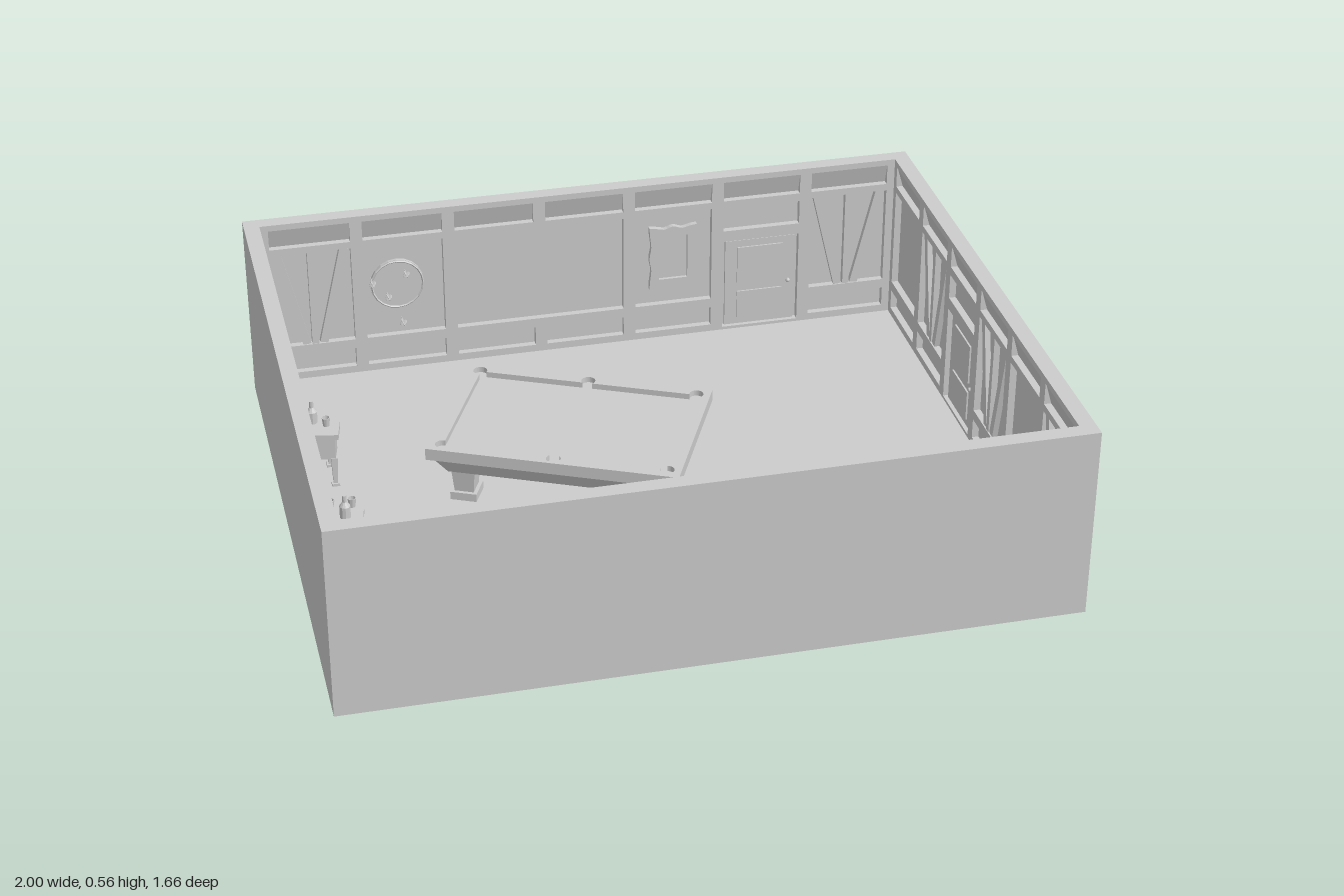
import * as THREE from 'three';

const material = new THREE.MeshStandardMaterial({ color: 0xcccccc, flatShading: true });
const W = 1, D = 0.832, H = 0.556, FLOOR = 0.038;
const SKIN = 0.025, RECESS = 0.02;

function add(parent, name, geometry, x = 0, y = 0, z = 0) {
  const mesh = new THREE.Mesh(geometry, material);
  mesh.name = name;
  mesh.position.set(x, y, z);
  parent.add(mesh);
  return mesh;
}
const box = (w, h, d) => new THREE.BoxGeometry(w, h, d);
const extrude = (shape, depth) =>
  new THREE.ExtrudeGeometry(shape, { depth, bevelEnabled: false, curveSegments: 10 });
// Extrusion lying flat, rising from y = 0
const slab = (shape, height) => extrude(shape, height).rotateX(-Math.PI / 2);

function rect(x0, y0, x1, y1, Type = THREE.Path) {
  const p = new Type();
  p.moveTo(x0, y0).lineTo(x1, y0).lineTo(x1, y1).lineTo(x0, y1).closePath();
  return p;
}

// Box whose lower end is scaled down
function taperedBox(w, h, d, sx, sz) {
  const g = box(w, h, d), p = g.attributes.position;
  for (let i = 0; i < p.count; i++) {
    if (p.getY(i) < 0) p.setXYZ(i, p.getX(i) * sx, p.getY(i), p.getZ(i) * sz);
  }
  g.computeVertexNormals();
  return g;
}

// Slanted timber between two points of a wall panel
function strut(parent, x0, y0, x1, y1, width) {
  const length = Math.hypot(x1 - x0, y1 - y0);
  const m = add(parent, 'timberBrace', box(width, length, 0.016), (x0 + x1) / 2, (y0 + y1) / 2, 0.008);
  m.rotation.z = -Math.atan2(x1 - x0, y1 - y0);
}

// Picture with a scalloped frame, w and h are half sizes
function picture(parent, x, y, w, h) {
  const pts = [], n = 48;
  for (let i = 0; i < n; i++) {
    const a = (i / n) * Math.PI * 2, c = Math.cos(a), s = Math.sin(a);
    const k = (1 + 0.04 * Math.cos(8 * a)) / Math.max(Math.abs(c), Math.abs(s));
    pts.push(new THREE.Vector2(c * k * w, s * k * h));
  }
  const frame = new THREE.Shape(pts), iw = w - 0.026, ih = h - 0.028;
  frame.holes.push(rect(-iw, -ih, iw, ih));
  add(parent, 'pictureFrame', extrude(frame, 0.016), x, y, 0);
  add(parent, 'pictureCanvas', box(2 * iw, 2 * ih, 0.006), x, y, 0.003);
}

// Round target with darts stuck in and around it
function dartboard(parent, x, y) {
  add(parent, 'dartboard', new THREE.CylinderGeometry(0.08, 0.08, 0.01, 20).rotateX(Math.PI / 2), x, y, 0.005);
  add(parent, 'dartboardRing', new THREE.TorusGeometry(0.076, 0.003, 4, 20), x, y, 0.011);
  const darts = [[-0.64, 0.34], [-0.595, 0.29], [-0.555, 0.2], [-0.54, 0.36]];
  for (const [dx, dy] of darts) {
    add(parent, 'dartShaft', new THREE.CylinderGeometry(0.003, 0.001, 0.04, 6).rotateX(Math.PI / 2), dx, dy, 0.02);
    for (const a of [0, Math.PI / 2]) {
      const flight = add(parent, 'dartFlight', new THREE.SphereGeometry(0.012, 8, 6), dx, dy, 0.041);
      flight.scale.set(1, 0.15, 1.2);
      flight.rotation.z = a + 0.5;
    }
  }
}

// Door leaf with two raised panels and a knob
function door(parent, x, w) {
  add(parent, 'doorLeaf', box(w - 0.02, 0.285, 0.008), x, 0.19, 0.004);
  for (const [y, h] of [[0.115, 0.09], [0.25, 0.12]]) add(parent, 'doorPanel', box(w * 0.6, h, 0.006), x, y, 0.01);
  add(parent, 'doorKnob', new THREE.SphereGeometry(0.007, 8, 6), x + w * 0.38, 0.18, 0.012);
}

// Panelled wall lining: a face with holes, filled bay by bay
function wall(parent, name, length, inner, bays, x, z, angle) {
  const group = new THREE.Group();
  group.name = name;
  group.position.set(x, 0, z);
  group.rotation.y = angle;
  parent.add(group);
  const count = bays.reduce((n, b) => n + (b === 'wide' ? 2 : 1), 0);
  const pitch = inner / count, gap = 0.018;
  const face = rect(-length / 2, FLOOR, length / 2, H, THREE.Shape);
  const hole = (x0, y0, x1, y1) => face.holes.push(rect(x0, y0, x1, y1));
  for (let i = 0; i < count; i++) {
    const a = -inner / 2 + i * pitch + gap, w = pitch - 2 * gap;
    hole(a, 0.476, a + w, 0.538);
    // Cornice panel leaning out towards its top
    const lean = new THREE.Shape([[0, 0.476], [0.018, 0.538], [0, 0.538]].map(([d, y]) => new THREE.Vector2(d, y)));
    add(group, 'cornicePanel', extrude(lean, w).rotateY(-Math.PI / 2), a + w);
  }
  let start = -inner / 2;
  for (const bay of bays) {
    const span = (bay === 'wide' ? 2 : 1) * pitch;
    const a = start + gap, b = start + span - gap, mid = (a + b) / 2;
    start += span;
    if (bay === 'door') {
      hole(a, 0.375, b, 0.45);
      hole(a, 0.047, b, 0.34);
      door(group, mid, b - a);
      continue;
    }
    hole(a, 0.15, b, 0.455);
    // Low skirting panels
    for (let k = 0; k < Math.round(span / pitch); k++) hole(a + k * pitch, 0.06, a + k * pitch + pitch - 2 * gap, 0.12);
    if (bay === 'brace') {
      add(group, 'timberPost', box(0.02, 0.305, 0.018), mid, 0.3025, 0.009);
      strut(group, a + 0.02, 0.455, mid - 0.025, 0.15, 0.024);
      strut(group, b - 0.02, 0.455, mid + 0.025, 0.15, 0.024);
    }
    if (bay === 'picture') picture(group, mid, 0.295, 0.07, 0.075);
    if (bay === 'portrait') picture(group, mid, 0.305, 0.07, 0.1);
    if (bay === 'dart') dartboard(group, mid - 0.02, 0.315);
  }
  add(group, 'panelling', extrude(face, RECESS));
}

function poolTable() {
  const table = new THREE.Group();
  table.name = 'poolTable';
  table.position.set(-0.194, 0, -0.078);
  table.rotation.y = -0.441;
  // Rails with six round pocket cut-outs: x, y, start and end angle
  const rails = rect(-0.355, -0.238, 0.355, 0.238, THREE.Shape);
  const inside = new THREE.Path();
  const pockets = [[0.315, 0.204, -98, 194], [0, 0.213, -44, 224], [-0.315, 0.204, -14, 278],
    [-0.315, -0.204, 82, 374], [0, -0.213, 136, 404], [0.315, -0.204, 166, 458]];
  for (const [x, y, a, b] of pockets) {
    inside.absarc(x, y, 0.02, THREE.MathUtils.degToRad(a), THREE.MathUtils.degToRad(b), false);
  }
  inside.closePath();
  rails.holes.push(inside);
  add(table, 'rails', slab(rails, 0.035), 0, 0.19, 0);
  add(table, 'bed', box(0.7, 0.02, 0.466), 0, 0.198, 0);
  add(table, 'skirt', taperedBox(0.68, 0.06, 0.45, 0.9, 0.85), 0, 0.16, 0);
  for (const sx of [-1, 1]) {
    for (const sz of [-1, 1]) {
      add(table, 'tableLeg', taperedBox(0.07, 0.1, 0.07, 0.75, 0.75), sx * 0.265, 0.1, sz * 0.152);
      add(table, 'tableFoot', box(0.075, 0.024, 0.075), sx * 0.265, FLOOR + 0.012, sz * 0.152);
    }
  }
  return table;
}

// Five-sided wall table carrying a bottle and glasses
function sideTable(z, bottle, glasses) {
  const g = new THREE.Group();
  g.name = 'sideTable';
  g.position.z = z;
  const outline = (inset) => new THREE.Shape([[-0.945, -0.05], [-0.835, -0.072], [-0.82, 0], [-0.835, 0.072], [-0.945, 0.05]]
    .map(([x, y]) => new THREE.Vector2(-0.885 + (x + 0.885) * inset, y * inset)));
  add(g, 'sideTableTop', slab(outline(1), 0.016), 0, 0.194, 0);
  add(g, 'sideTableApron', slab(outline(0.82), 0.07), 0, 0.125, 0);
  for (const s of [-1, 1]) {
    for (const [x, w] of [[-0.925, 0.034], [-0.848, 0.052]]) {
      add(g, 'sideTableLeg', taperedBox(0.018, 0.09, 0.018, 0.6, 0.6), x, 0.083, s * w);
      add(g, 'sideTableFoot', box(0.022, 0.008, 0.022), x, FLOOR + 0.004, s * w);
    }
  }
  const profile = (pts) => new THREE.LatheGeometry(pts.map(([r, y]) => new THREE.Vector2(r, y)), 10);
  add(g, 'bottle', profile([[0, 0], [0.015, 0], [0.015, 0.035], [0.006, 0.048], [0.006, 0.068], [0, 0.068]]), bottle[0], 0.21, bottle[1]);
  for (const [x, gz] of glasses) {
    add(g, 'glass', profile([[0, 0], [0.009, 0], [0.012, 0.026], [0.01, 0.026], [0.008, 0.004], [0, 0.004]]), x, 0.21, gz);
  }
  return g;
}

export function createModel() {
  const room = new THREE.Group();
  room.name = 'room';

  // Outer shell and floor
  const shell = rect(-W, -D, W, D, THREE.Shape);
  shell.holes.push(rect(-W + SKIN, -D + SKIN, W - SKIN, D - SKIN));
  add(room, 'outerWalls', slab(shell, H));
  add(room, 'floor', box(2 * (W - SKIN), FLOOR, 2 * (D - SKIN)), 0, FLOOR / 2, 0);

  // Panelled linings
  const wx = W - SKIN, dz = D - SKIN, long = 2 * wx, short = 2 * (dz - RECESS);
  wall(room, 'backWall', long, long - 0.05, ['brace', 'dart', 'wide', 'portrait', 'door', 'brace'], 0, -dz, 0);
  wall(room, 'frontWall', long, long - 0.05, ['plain', 'brace', 'picture', 'brace', 'picture', 'brace', 'plain'], 0, dz, Math.PI);
  wall(room, 'rightWall', short, short - 0.01, ['brace', 'plain', 'brace', 'plain', 'brace', 'picture'], -wx, 0, Math.PI / 2);
  wall(room, 'leftWall', short, short - 0.01, ['plain', 'brace', 'door', 'brace', 'plain', 'brace'], wx, 0, -Math.PI / 2);

  // Furniture
  room.add(poolTable());
  room.add(sideTable(-0.236, [-0.895, -0.014], [[-0.86, 0.013]]));
  room.add(sideTable(0.216, [-0.875, 0.034], [[-0.908, -0.016], [-0.85, -0.014]]));
  return room;
}
